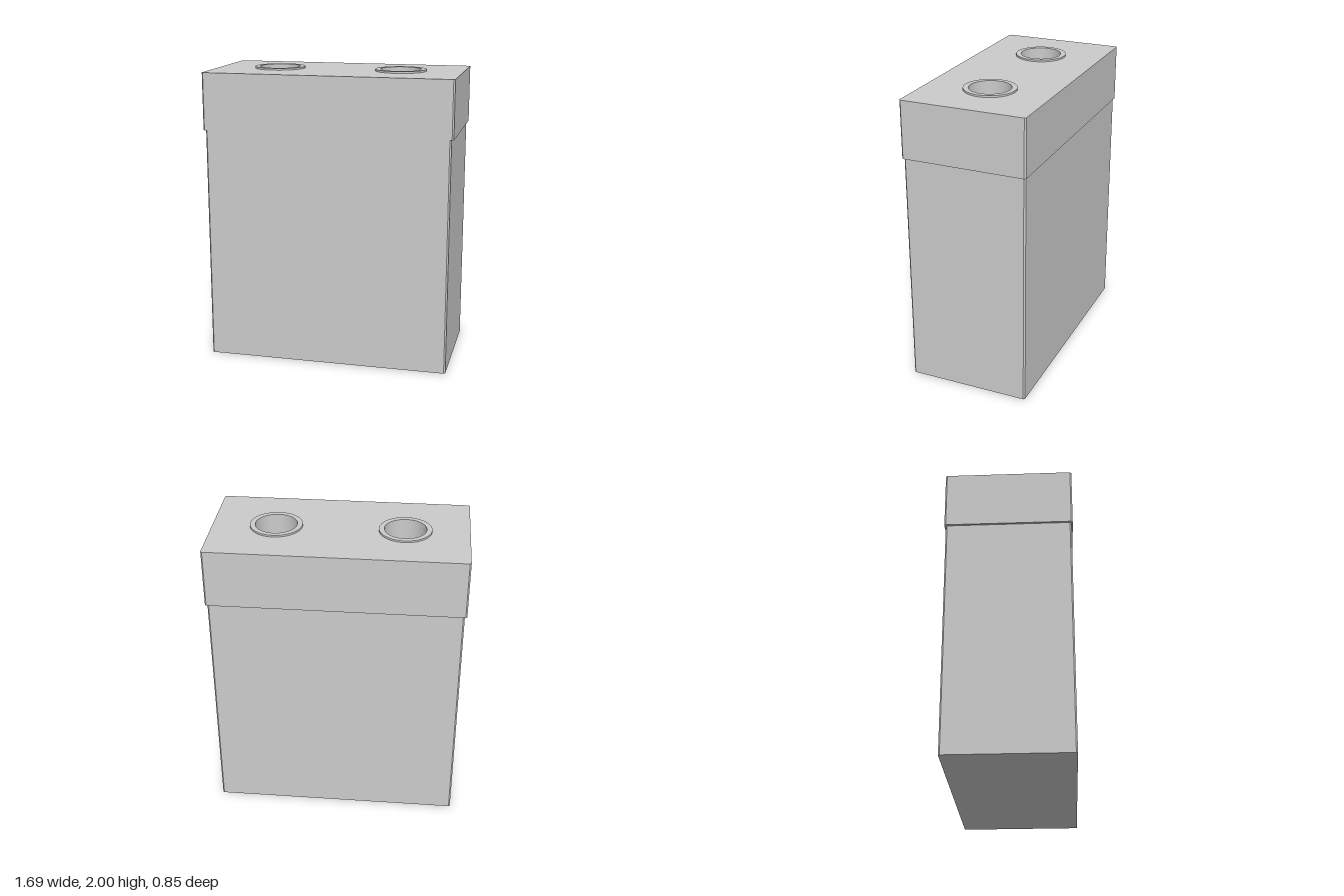
import * as THREE from 'three';
import { toCreasedNormals } from 'three/addons/utils/BufferGeometryUtils.js';

const SOCKET_X = 0.425, BORE = 0.139, FLANGE = 0.174;
const SEAM_Y = 1.6, LID_TOP = 1.988, TOP = 2;
const SEGMENTS = 64;

const material = new THREE.MeshStandardMaterial({ color: 0xcccccc });

// Rectangular footprint with narrow chamfers on its corners
function footprint(hx, hz, c) {
  return new THREE.Shape([
    [hx, -hz + c], [hx, hz - c], [hx - c, hz], [-hx + c, hz],
    [-hx, hz - c], [-hx, -hz + c], [-hx + c, -hz], [hx - c, -hz],
  ].map(([x, y]) => new THREE.Vector2(x, y)));
}

// Upright block made by raising a footprint from y0 to y1
function block(name, shape, y0, y1) {
  const geometry = new THREE.ExtrudeGeometry(shape, {
    depth: y1 - y0, bevelEnabled: false, curveSegments: SEGMENTS,
  });
  geometry.rotateX(-Math.PI / 2).translate(0, y0, 0);
  const mesh = new THREE.Mesh(geometry, material);
  mesh.name = name;
  return mesh;
}

export function createModel() {
  const model = new THREE.Group();
  model.name = 'lidded box';

  // Tall body
  model.add(block('body', footprint(0.832, 0.416, 0.01), 0, SEAM_Y));

  // Slightly wider lid with two round openings
  const lidShape = footprint(0.847, 0.424, 0.01);
  for (const side of [-1, 1]) {
    lidShape.holes.push(new THREE.Path().absarc(side * SOCKET_X, 0, BORE + 0.01, 0, Math.PI * 2, true));
  }
  model.add(block('lid', lidShape, SEAM_Y, LID_TOP));

  // Sleeves lining the openings, each with a thin raised flange
  const profile = [
    [BORE + 0.01, SEAM_Y], [BORE + 0.01, LID_TOP], [FLANGE, LID_TOP],
    [FLANGE, TOP], [BORE, TOP], [BORE, SEAM_Y],
  ].map(([r, y]) => new THREE.Vector2(r, y));
  const sleeve = toCreasedNormals(new THREE.LatheGeometry(profile, SEGMENTS), 0.6);
  for (const side of [-1, 1]) {
    const socket = new THREE.Mesh(sleeve, material);
    socket.name = side > 0 ? 'leftSocket' : 'rightSocket';
    socket.position.x = side * SOCKET_X;
    model.add(socket);
  }
  return model;
}
